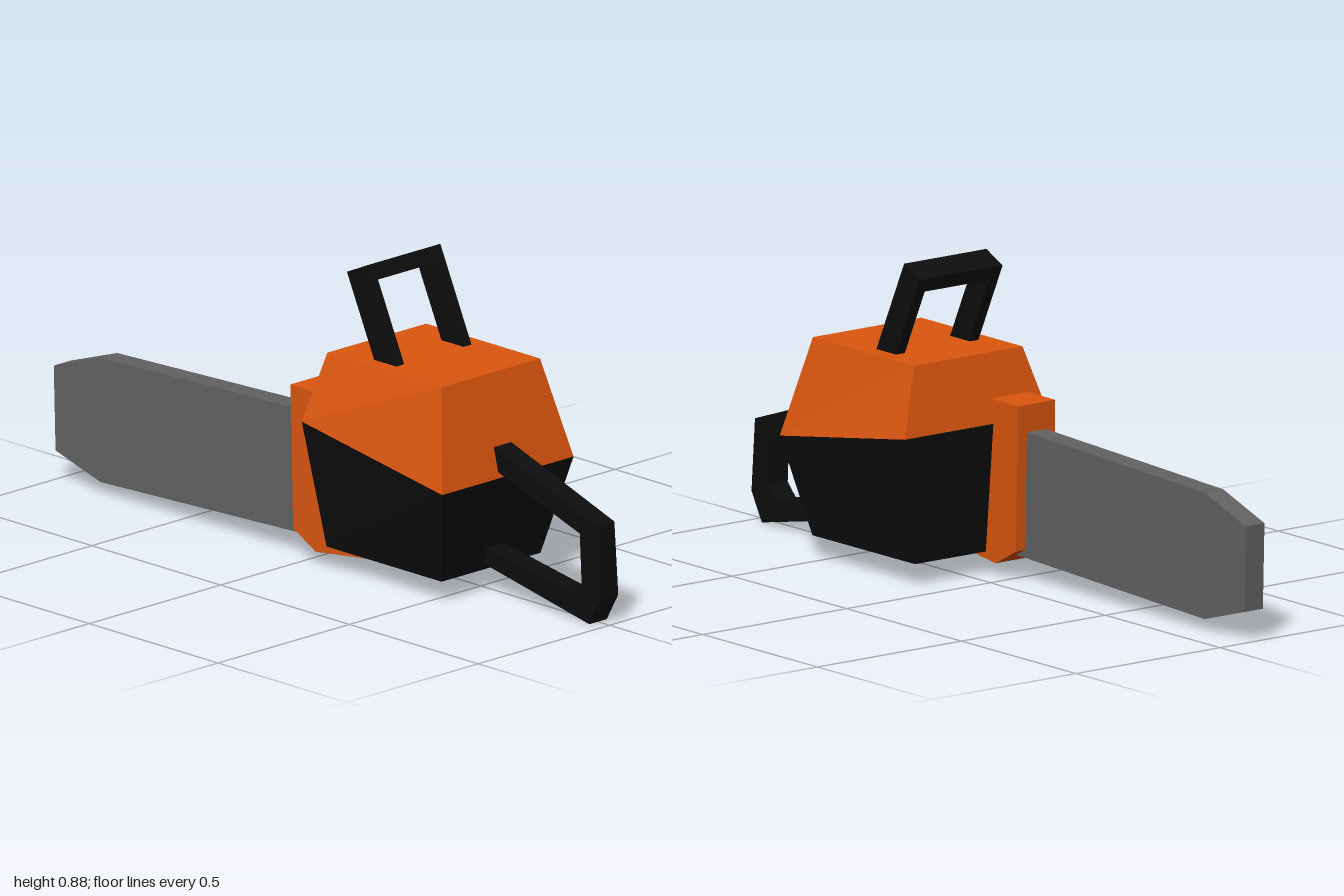
import * as THREE from 'three';

const paint = (name, color) => {
  const m = new THREE.MeshStandardMaterial({ color });
  m.name = name;
  return m;
};

// Extrudes a [z, y] side profile across x, from x0 to x1
function sidePlate(name, profile, x0, x1, material) {
  const shape = new THREE.Shape(profile.map(([z, y]) => new THREE.Vector2(-z, y)));
  const geo = new THREE.ExtrudeGeometry(shape, { depth: x1 - x0, bevelEnabled: false });
  geo.rotateY(Math.PI / 2).translate(x0, 0, 0);
  const mesh = new THREE.Mesh(geo, material);
  mesh.name = name;
  return mesh;
}

// Four-cornered section: half width, front z and y, back z and y
const section = (w, zf, yf, zb, yb) => [[-w, yf, zf], [w, yf, zf], [w, yb, zb], [-w, yb, zb]];

// Closed shell between a lower and an upper section
function shell(name, low, high, material) {
  const pos = [];
  const quad = (a, b, c, d) => pos.push(...a, ...b, ...c, ...a, ...c, ...d);
  for (let i = 0; i < 4; i++) {
    const j = (i + 1) % 4;
    quad(low[i], low[j], high[j], high[i]);
  }
  quad(...high);
  quad(...[...low].reverse());
  const geo = new THREE.BufferGeometry();
  geo.setAttribute('position', new THREE.Float32BufferAttribute(pos, 3));
  geo.computeVertexNormals();
  const mesh = new THREE.Mesh(geo, material);
  mesh.name = name;
  return mesh;
}

export function createModel() {
  const orange = paint('orange casing', 0xdb560f);
  const black = paint('black plastic', 0x0d0d0d);
  const grey = paint('grey steel', 0x626262);
  const model = new THREE.Group();
  model.name = 'chainsaw';

  // Motor housing, split along a slanted belt line
  const bottom = section(0.188, 0.54, 0.062, 0.093, 0.062);
  const belt = section(0.25, 0.605, 0.337, 0.06, 0.424);
  const top = section(0.188, 0.538, 0.615, 0.096, 0.615);
  model.add(shell('lowerHousing', bottom, belt, black));
  model.add(shell('upperHousing', belt, top, orange));

  // Bar mount, wrapping under the housing
  model.add(sidePlate('barMount', [
    [0.08, 0.492], [-0.048, 0.492], [-0.038, 0.085], [0.05, 0.037], [0.28, 0.066], [0.13, 0.2],
  ], -0.187, -0.058, orange));

  // Guide bar
  model.add(sidePlate('guideBar', [
    [0.03, 0.418], [-0.82, 0.387], [-1, 0.325], [-0.993, 0.085], [-0.82, 0.034], [0.03, 0.066],
  ], -0.155, -0.09, grey));

  // Rear grip loop, both arms ending inside the housing
  model.add(sidePlate('rearHandle', [
    [0.53, 0.44], [0.985, 0.285], [1, 0.08], [0.955, 0], [0.5, 0.09],
    [0.5, 0.138], [0.89, 0.073], [0.925, 0.11], [0.918, 0.25], [0.53, 0.377],
  ], -0.033, 0.033, black));

  // Top handle: an arch leaning back
  const arch = new THREE.Shape([
    [-0.143, 0], [-0.143, -0.33], [-0.113, -0.33], [-0.113, -0.044],
    [0.113, -0.044], [0.113, -0.33], [0.143, -0.33], [0.143, 0],
  ].map(([x, y]) => new THREE.Vector2(x, y)));
  const archGeo = new THREE.ExtrudeGeometry(arch, { depth: 0.078, bevelEnabled: false });
  archGeo.translate(0, 0, -0.078);
  const topHandle = new THREE.Mesh(archGeo, black);
  topHandle.name = 'topHandle';
  topHandle.position.set(0, 0.875, 0.197);
  topHandle.rotation.x = -0.435;
  model.add(topHandle);

  return model;
}
